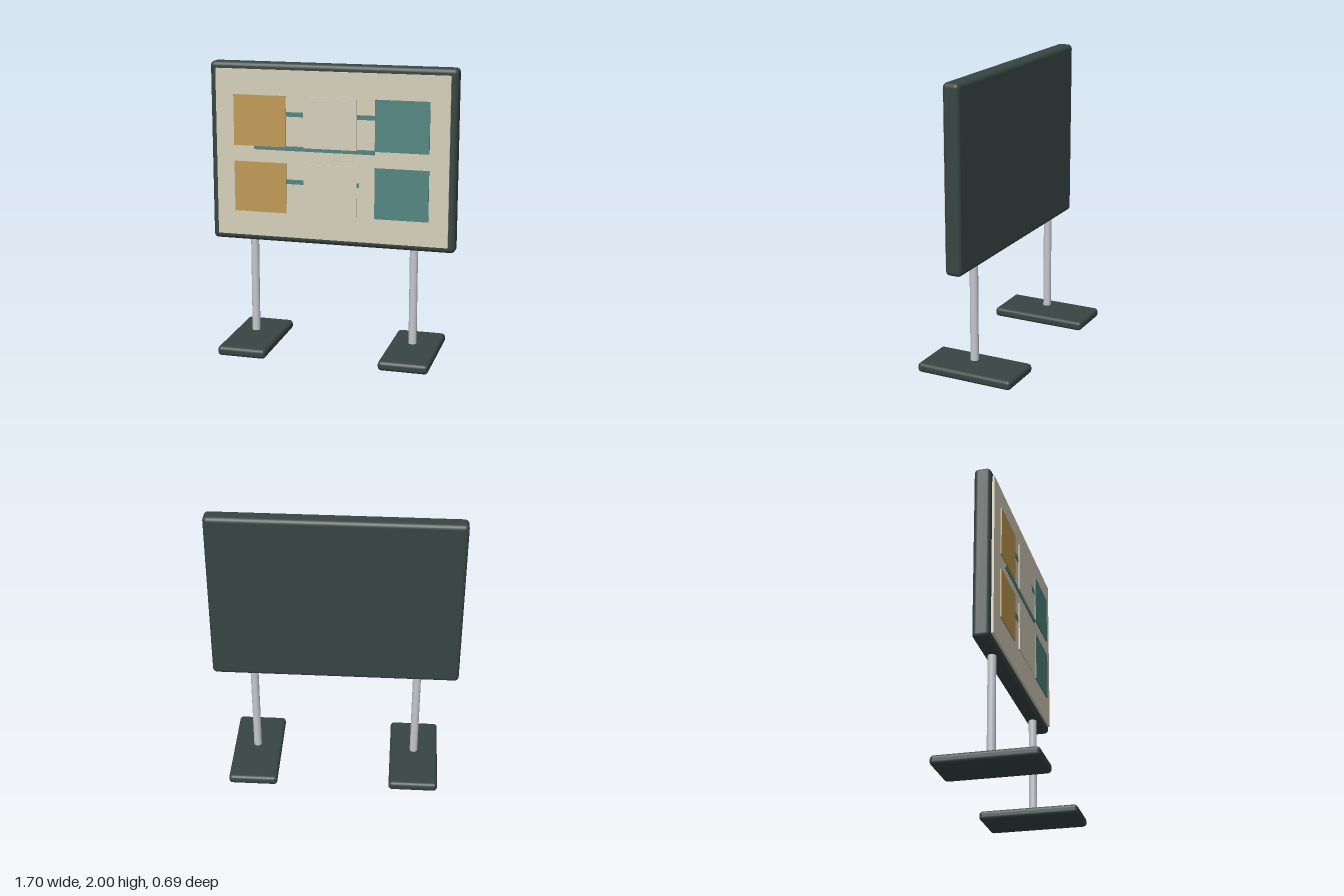
import * as THREE from 'three';
import { RoundedBoxGeometry } from 'three/addons/geometries/RoundedBoxGeometry.js';

export function createModel() {
  const group = new THREE.Group();
  const material = (name, color) => {
    const m = new THREE.MeshStandardMaterial({ color });
    m.name = name;
    return m;
  };
  const dark = material('dark frame', 0x374542);
  const cream = material('cream panel', 0xd6cfbb);
  const ochre = material('ochre card', 0xc09a54);
  const teal = material('teal card', 0x52857f);
  const metal = material('pale metal', 0xc3c7cd);

  const add = (name, geometry, mat, x, y, z) => {
    const mesh = new THREE.Mesh(geometry, mat);
    mesh.name = name;
    mesh.position.set(x, y, z);
    group.add(mesh);
  };

  // Board and its display panel
  add('boardFrame', new RoundedBoxGeometry(1.7, 1.235, 0.114, 3, 0.03), dark, 0, 1.3825, 0);
  add('displayPanel', new THREE.BoxGeometry(1.61, 1.148, 0.018), cream, 0, 1.381, 0.064);

  // Two rows of cards
  const cardGeometry = new THREE.BoxGeometry(0.367, 0.347, 0.009);
  for (const y of [1.611, 1.153]) {
    [ochre, cream, teal].forEach((mat, i) => add('card', cardGeometry, mat, (i - 1) * 0.491, y, 0.0845));
  }

  // Thin strips behind the cards: left end, right end, height
  for (const [x0, x1, y] of [[-0.535, 0.42, 1.661], [-0.535, 0.305, 1.428], [-0.535, 0.2, 1.199]]) {
    add('strip', new THREE.BoxGeometry(x1 - x0, 0.03, 0.008), teal, (x0 + x1) / 2, y, 0.078);
  }

  // Posts and feet
  const postGeometry = new THREE.CylinderGeometry(0.028, 0.028, 0.72, 24);
  const footGeometry = new RoundedBoxGeometry(0.342, 0.066, 0.688, 3, 0.025);
  for (const side of [-1, 1]) {
    add('post', postGeometry, metal, side * 0.565, 0.455, 0);
    add('foot', footGeometry, dark, side * 0.565, 0.035, 0);
  }
  return group;
}
